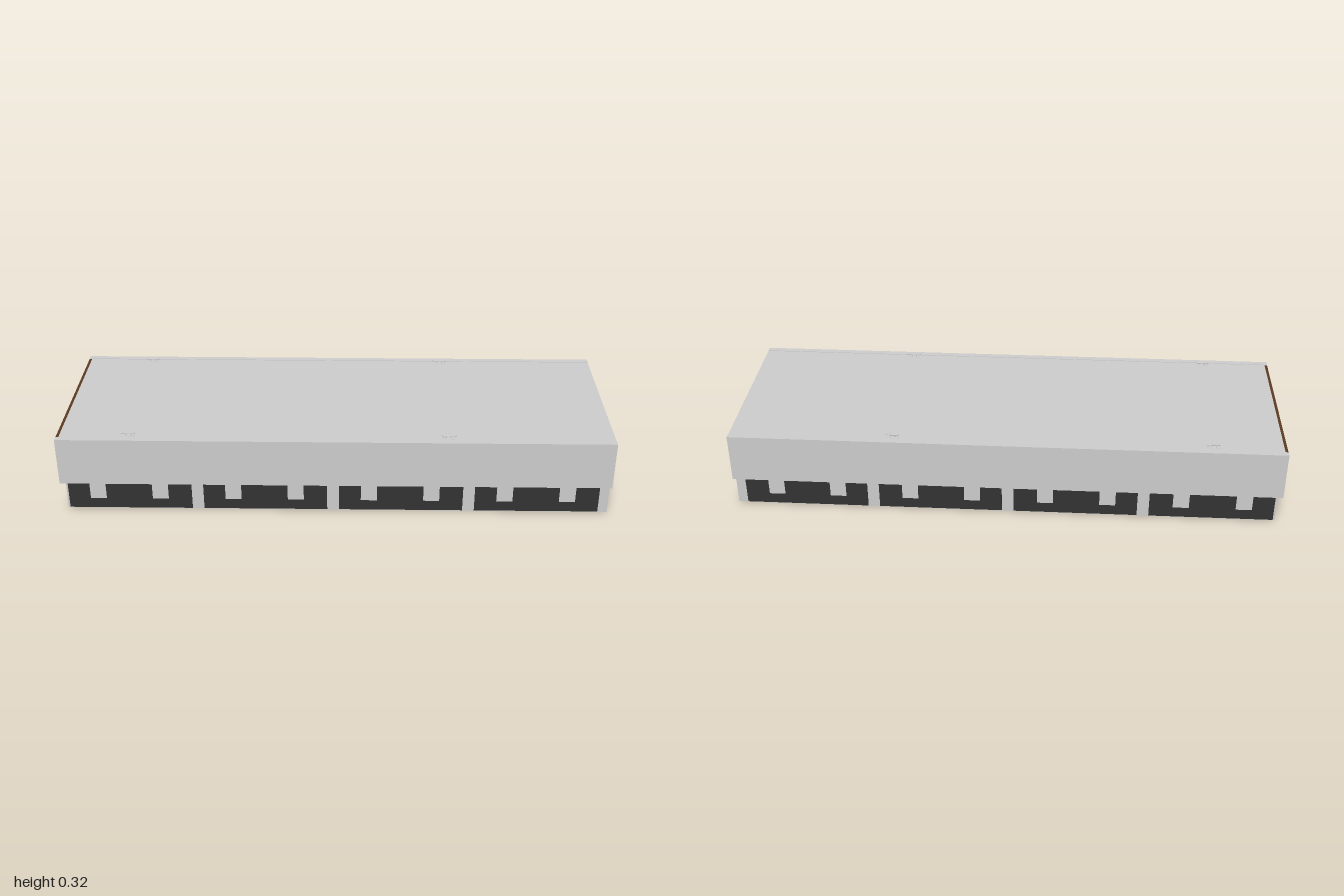
import * as THREE from 'three';

export function createModel() {
  const model = new THREE.Group();
  const grey = new THREE.MeshStandardMaterial({ color: 0xcccccc });
  const dark = new THREE.MeshStandardMaterial({ color: 0x323232 });
  const brown = new THREE.MeshStandardMaterial({ color: 0x5a3a22 });

  // Box given by its minimum and maximum on each axis
  function box(name, [x0, x1], [y0, y1], [z0, z1], material = grey, parent = model) {
    const mesh = new THREE.Mesh(new THREE.BoxGeometry(x1 - x0, y1 - y0, z1 - z0), material);
    mesh.position.set((x0 + x1) / 2, (y0 + y1) / 2, (z0 + z1) / 2);
    mesh.name = name;
    parent.add(mesh);
    return mesh;
  }

  // Lower body and wider upper body
  box('lowerBody', [-0.988, 1], [0.001, 0.13], [-0.3, 0.3]);
  box('upperBody', [-0.99, 1], [0.128, 0.308], [-0.316, 0.316]);

  // Side fascias, a touch higher than the deck
  for (const s of [-1, 1]) {
    box('sideFascia', [-1, 1], [0.128, 0.31], s > 0 ? [0.316, 0.338] : [-0.338, -0.316]);
  }

  // Framed end with its trim and lower lip
  box('endTrim', [-1, -0.99], [0.3, 0.308], [-0.316, 0.316], brown);
  box('endLip', [-1, -0.99], [0.128, 0.138], [-0.316, 0.316]);
  box('endSill', [0.99, 1.0005], [0, 0.004], [-0.093, 0.093]);

  // Four bays: dark side panels with two tabs each, and a dark floor
  for (let i = 0; i < 4; i++) {
    const x = -0.981 + i * 0.4973;
    const bay = new THREE.Group();
    bay.name = 'bay';
    model.add(bay);
    box('floorPanel', [x, x + 0.454], [0, 0.004], [-0.292, 0.292], dark, bay);
    for (const s of [-1, 1]) {
      const span = (a, b) => (s > 0 ? [a, b] : [-b, -a]);
      box('sidePanel', [x, x + 0.454], [0.004, 0.128], span(0.298, 0.3025), dark, bay);
      for (const dx of [0.08, 0.309]) {
        box('panelTab', [x + dx, x + dx + 0.059], [0.045, 0.128], span(0.299, 0.3035), grey, bay);
      }
    }
  }

  // Small deck cleats: oval foot, two posts and a horn bar with raised ends
  const hornCurve = new THREE.CatmullRomCurve3([
    new THREE.Vector3(-0.029, 0.0125, 0), new THREE.Vector3(-0.014, 0.0105, 0),
    new THREE.Vector3(0.014, 0.0105, 0), new THREE.Vector3(0.029, 0.0125, 0),
  ]);
  const hornGeometry = new THREE.TubeGeometry(hornCurve, 12, 0.0018, 8);
  const footGeometry = new THREE.CylinderGeometry(0.01, 0.011, 0.003, 20);
  const postGeometry = new THREE.CylinderGeometry(0.0018, 0.0025, 0.01, 8);
  for (const x of [-0.74, 0.405]) {
    for (const z of [-0.299, 0.301]) {
      const cleat = new THREE.Group();
      cleat.name = 'deckCleat';
      cleat.position.set(x, 0.308, z);
      const foot = new THREE.Mesh(footGeometry, grey);
      foot.name = 'cleatFoot';
      foot.scale.x = 2;
      foot.position.y = 0.0015;
      const horn = new THREE.Mesh(hornGeometry, grey);
      horn.name = 'cleatHorn';
      cleat.add(foot, horn);
      for (const px of [-0.009, 0.009]) {
        const post = new THREE.Mesh(postGeometry, grey);
        post.name = 'cleatPost';
        post.position.set(px, 0.006, 0);
        cleat.add(post);
      }
      model.add(cleat);
    }
  }
  return model;
}
